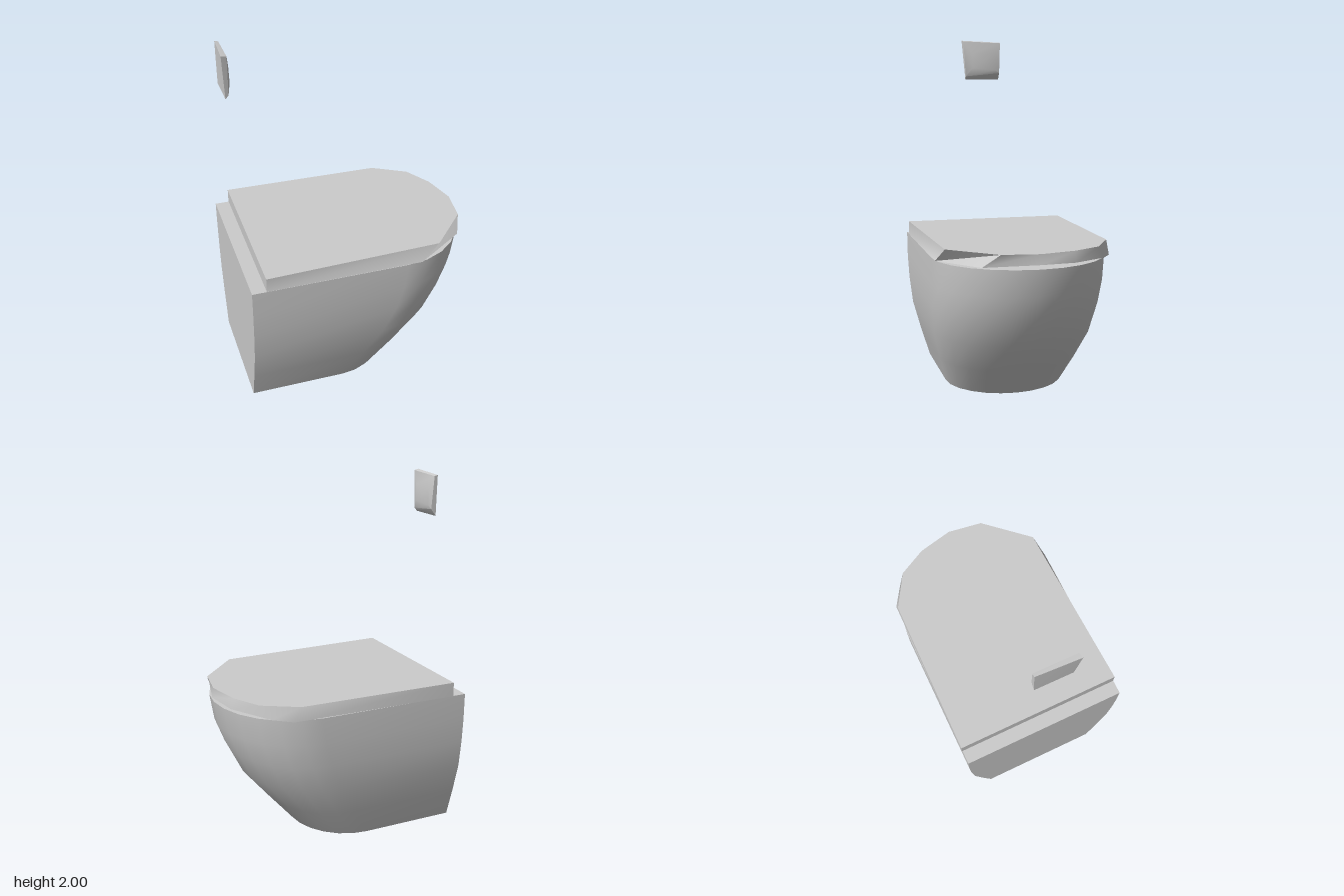
import * as THREE from 'three';
import { toCreasedNormals } from 'three/addons/utils/BufferGeometryUtils.js';

// Closed solid through rings of [x, y, z] points, capped at both ends
function loft(rings, crease) {
  const pos = [];
  const tri = (a, b, c) => pos.push(...a, ...b, ...c);
  const centre = (ring) => [0, 1, 2].map((k) => ring.reduce((s, p) => s + p[k], 0) / ring.length);
  const n = rings[0].length;
  const first = rings[0], last = rings[rings.length - 1];
  const c0 = centre(first), c1 = centre(last);
  for (let i = 0; i < n; i++) {
    const j = (i + 1) % n;
    for (let r = 0; r < rings.length - 1; r++) {
      const lo = rings[r], hi = rings[r + 1];
      tri(lo[i], lo[j], hi[j]);
      tri(lo[i], hi[j], hi[i]);
    }
    tri(c0, first[j], first[i]);
    tri(c1, last[i], last[j]);
  }
  const g = new THREE.BufferGeometry();
  g.setAttribute('position', new THREE.Float32BufferAttribute(pos, 3));
  return toCreasedNormals(g, crease);
}

// D-shaped bowl section: flat back, straight sides, elliptical nose
function bowlRing([y, halfWidth, straightEnd, nose]) {
  const ring = [[-0.66, y, halfWidth]];
  const steps = 12;
  for (let i = 0; i <= steps; i++) {
    const t = Math.PI / 2 - (Math.PI * i) / steps;
    ring.push([straightEnd + (nose - straightEnd) * Math.cos(t), y, halfWidth * Math.sin(t)]);
  }
  ring.push([-0.66, y, -halfWidth]);
  return ring;
}

export function createModel() {
  const group = new THREE.Group();
  const ceramic = new THREE.MeshStandardMaterial({ color: 0xcccccc });
  ceramic.name = 'light grey ceramic';
  const add = (name, geometry) => {
    const mesh = new THREE.Mesh(geometry, ceramic);
    mesh.name = name;
    group.add(mesh);
  };

  // Bowl: height, half width, end of the straight side, nose
  add('bowl', loft([
    [0.005, 0.345, -0.12, 0.20],
    [0.18, 0.40, -0.01, 0.35],
    [0.36, 0.45, 0.09, 0.50],
    [0.52, 0.47, 0.16, 0.58],
    [0.66, 0.479, 0.20, 0.635],
    [0.81, 0.481, 0.22, 0.66],
  ].map(bowlRing), 0.7));

  // Lid: lower rim lifts slightly at the nose, top is flat
  const lowerRim = [
    [-0.58, 0.81, 0.48], [0.30, 0.81, 0.478], [0.59, 0.82, 0.29], [0.668, 0.835, 0],
    [0.63, 0.83, -0.20], [0.48, 0.818, -0.41], [0.38, 0.812, -0.475], [-0.58, 0.81, -0.485],
  ];
  const upperRim = [
    [-0.58, 0.89, 0.48], [0.41, 0.89, 0.445], [0.63, 0.89, 0.20], [0.66, 0.89, 0],
    [0.615, 0.89, -0.20], [0.53, 0.89, -0.36], [0.34, 0.89, -0.473], [-0.58, 0.89, -0.485],
  ];
  add('lid', loft([lowerRim, upperRim], 0.8));

  // Flush plate on the wall: slightly skewed slab with a bulging face
  add('flushPlate', loft([
    [[-0.67, 2, 0.12], [-0.657, 1.76, 0.10], [-0.655, 1.76, -0.11], [-0.655, 1.99, -0.118]],
    [[-0.64, 1.995, 0.115], [-0.64, 1.78, 0.10], [-0.625, 1.80, -0.11], [-0.635, 1.985, -0.118]],
    [[-0.625, 1.92, 0.06], [-0.623, 1.83, 0.06], [-0.62, 1.82, -0.08], [-0.62, 1.92, -0.08]],
  ], 0.5));

  return group;
}
